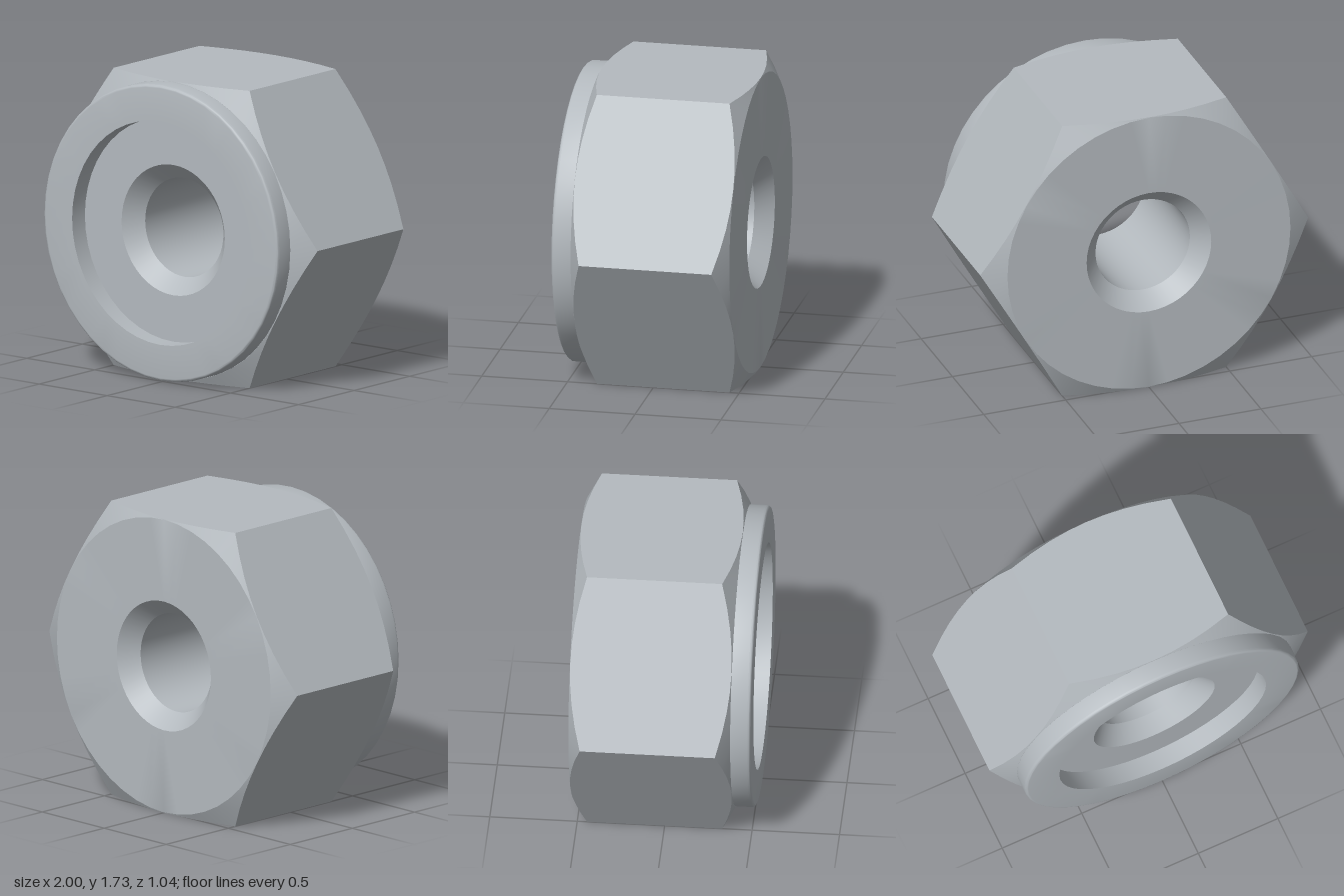
import * as THREE from 'three';
import { toCreasedNormals } from 'three/addons/utils/BufferGeometryUtils.js';

const SEGMENTS = 48;
const APOTHEM = Math.sqrt(3) / 2;

// Radius of the hexagon at an angle, corners on +x and -x
function hexRadius(angle) {
  const sector = Math.PI / 3;
  const local = ((angle % sector) + sector) % sector - sector / 2;
  return APOTHEM / Math.cos(local);
}

// Sweeps a profile around z; each entry is [radius, z] or a function of the angle
function sweep(profile) {
  const positions = [];
  const index = [];
  for (const entry of profile) {
    for (let j = 0; j < SEGMENTS; j++) {
      const a = (j / SEGMENTS) * Math.PI * 2;
      const [r, z] = typeof entry === 'function' ? entry(a) : entry;
      positions.push(r * Math.cos(a), r * Math.sin(a), z);
    }
  }
  for (let i = 0; i < profile.length - 1; i++) {
    for (let j = 0; j < SEGMENTS; j++) {
      const k = (j + 1) % SEGMENTS;
      const a = i * SEGMENTS + j, b = i * SEGMENTS + k;
      const c = a + SEGMENTS, d = b + SEGMENTS;
      index.push(a, b, c, b, d, c);
    }
  }
  const geometry = new THREE.BufferGeometry();
  geometry.setAttribute('position', new THREE.Float32BufferAttribute(positions, 3));
  geometry.setIndex(index);
  return toCreasedNormals(geometry, 0.42);
}

export function createModel() {
  const steel = new THREE.MeshStandardMaterial({ color: 0xb4babf });
  steel.name = 'steel';

  const group = new THREE.Group();
  group.name = 'hexNut';
  const add = (name, profile) => {
    const mesh = new THREE.Mesh(sweep(profile), steel);
    mesh.name = name;
    mesh.position.y = APOTHEM;
    group.add(mesh);
  };

  const back = -0.52, shoulder = 0.405, front = 0.52;
  const slope = 0.56;
  const chamfer = (a) => (hexRadius(a) - APOTHEM) * slope;

  // Hexagonal body with conical chamfers at both ends
  add('hexBody', [
    [0.38, back],
    [0.863, back],
    (a) => [hexRadius(a), back + chamfer(a) + 0.001],
    (a) => [hexRadius(a), shoulder - chamfer(a) - 0.001],
    [0.863, shoulder],
    [0.85, shoulder],
  ]);

  // Round collar with a softened rim and a recessed seat
  const rim = [];
  const R = 0.862, fillet = 0.018;
  for (let i = 0; i <= 4; i++) {
    const t = (i / 4) * Math.PI / 2;
    rim.push([R - fillet + fillet * Math.cos(t), front - fillet + fillet * Math.sin(t)]);
  }
  add('collar', [[R, shoulder - 0.005], ...rim, [0.65, front], [0.65, shoulder], [0.38, shoulder]]);

  // Through bore, countersunk at both ends
  add('bore', [[0.38, shoulder], [0.288, shoulder - 0.1], [0.288, back + 0.1], [0.38, back]]);

  return group;
}
